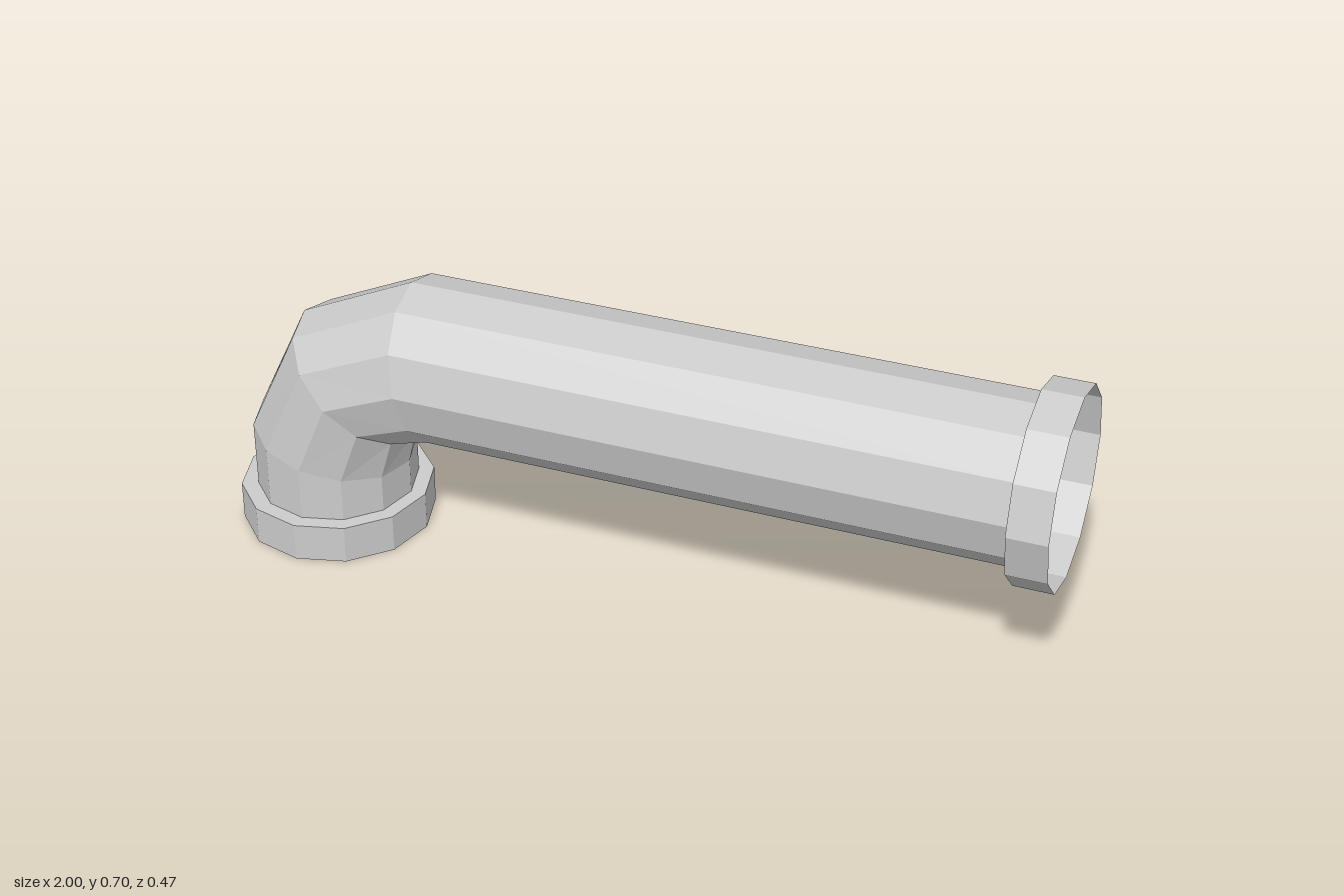
import * as THREE from 'three';

const SIDES = 12;
const PIPE = 0.195;   // pipe half depth
const COLLAR = 0.233; // collar half depth

// Each section: [outer x, outer y, inner x, inner y, half depth in z].
const collarEnd = [1, 0.702, 1, 0.245, COLLAR];
const collarBack = [0.907, 0.702, 0.907, 0.245, COLLAR];
const pipeEnd = [0.907, 0.665, 0.907, 0.283, PIPE];
const bendStart = [-0.55, 0.665, -0.48, 0.283, PIPE];
const bendMiddle = [-0.83, 0.535, -0.557, 0.265, PIPE];
const bendEnd = [-0.96, 0.262, -0.578, 0.179, PIPE];
const pipeFoot = [-0.96, 0.093, -0.578, 0.093, PIPE];
const footTop = [-1, 0.093, -0.541, 0.093, COLLAR];
const footEnd = [-1, 0, -0.541, 0, COLLAR];

// Point on an elliptical section, starting from its outer edge.
function sectionPoint([ox, oy, ix, iy, depth], j) {
  const t = (j / SIDES) * Math.PI * 2;
  const c = Math.cos(t) / 2;
  return [
    (ox + ix) / 2 + (ox - ix) * c,
    (oy + iy) / 2 + (oy - iy) * c,
    depth * Math.sin(t),
  ];
}

// Open faceted skin through a run of sections.
function skin(name, sections, material) {
  const positions = [];
  for (let i = 0; i < sections.length - 1; i++) {
    for (let j = 0; j < SIDES; j++) {
      const a = sectionPoint(sections[i], j);
      const b = sectionPoint(sections[i], j + 1);
      const c = sectionPoint(sections[i + 1], j);
      const d = sectionPoint(sections[i + 1], j + 1);
      positions.push(...a, ...c, ...b, ...b, ...c, ...d);
    }
  }
  const geometry = new THREE.BufferGeometry();
  geometry.setAttribute('position', new THREE.Float32BufferAttribute(positions, 3));
  geometry.computeVertexNormals();
  const mesh = new THREE.Mesh(geometry, material);
  mesh.name = name;
  return mesh;
}

export function createModel() {
  const material = new THREE.MeshStandardMaterial({
    color: 0xcccccc,
    flatShading: true,
    side: THREE.DoubleSide,
  });
  const group = new THREE.Group();
  group.name = 'elbowPipe';
  group.add(
    // Thin socket with a stepped shoulder at the long end
    skin('sideCollar', [collarEnd, collarBack, pipeEnd], material),
    skin('straightPipe', [pipeEnd, bendStart], material),
    // Two-segment quarter bend
    skin('elbow', [bendStart, bendMiddle, bendEnd], material),
    skin('shortPipe', [bendEnd, pipeFoot], material),
    // Matching socket facing down
    skin('bottomCollar', [pipeFoot, footTop, footEnd], material),
  );
  return group;
}
